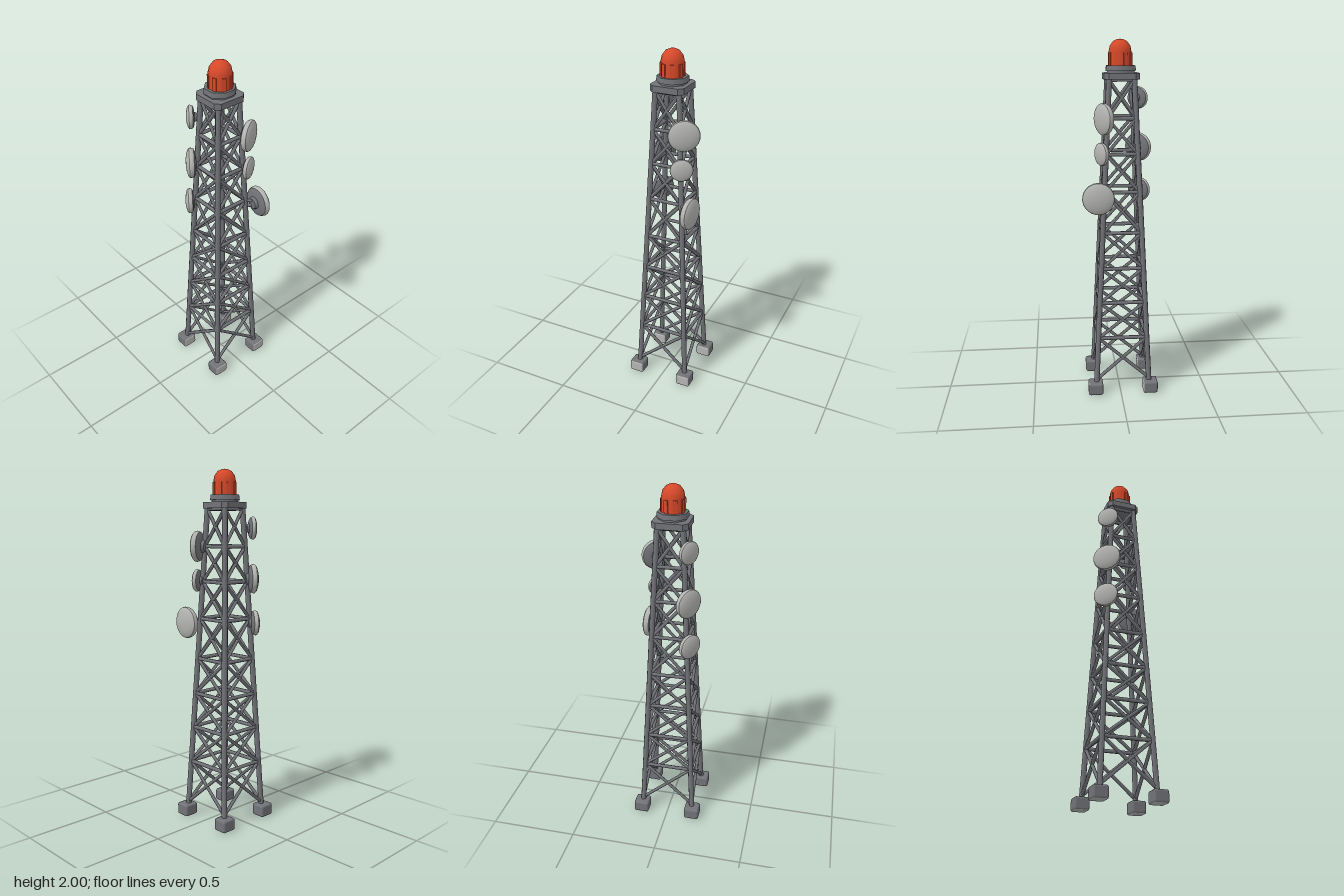
import * as THREE from 'three';
import { RoundedBoxGeometry } from 'three/addons/geometries/RoundedBoxGeometry.js';

const V = (x, y, z) => new THREE.Vector3(x, y, z);
const UP = V(0, 1, 0);

export function createModel() {
  const mat = (name, color) => {
    const m = new THREE.MeshStandardMaterial({ color });
    m.name = name;
    return m;
  };
  const steel = mat('steel grey', 0x727378);
  const pale = mat('pale grey', 0xb4b4b2);
  const red = mat('beacon red', 0xd8492a);

  const model = new THREE.Group();
  model.name = 'radioTower';
  const tower = new THREE.Group();
  tower.name = 'tower';
  tower.position.x = -0.0125;
  model.add(tower);

  const add = (parent, name, geo, material, x = 0, y = 0, z = 0) => {
    const m = new THREE.Mesh(geo, material);
    m.name = name;
    m.position.set(x, y, z);
    parent.add(m);
    return m;
  };
  // Round bar between two points
  const bar = (parent, name, a, b, r, sides = 6) => {
    const d = b.clone().sub(a);
    const m = add(parent, name, new THREE.CylinderGeometry(r, r, d.length(), sides), steel);
    m.position.copy(a).add(b).multiplyScalar(0.5);
    m.quaternion.setFromUnitVectors(UP, d.normalize());
  };

  // Corner point of the tapering tower at a height
  const half = y => 0.153 - (0.085 * (y - 0.05)) / 1.75;
  const signs = [[1, 1], [1, -1], [-1, -1], [-1, 1]];
  const corner = (i, y) => {
    const [sx, sz] = signs[i % 4];
    return V(sx * half(y), y, sz * half(y));
  };

  // Legs and footings
  signs.forEach(([sx, sz], i) => {
    bar(tower, 'leg', corner(i, 0.04), corner(i, 1.8), 0.0155, 8);
    add(tower, 'footing', new RoundedBoxGeometry(0.084, 0.07, 0.088, 2, 0.012),
      [pale, steel, steel, pale, steel, steel], sx * 0.159, 0.035, sz * 0.156);
  });

  // Horizontal rails and crossed braces on each side
  const levels = [0.08, 0.33, 0.54, 0.74, 0.945, 1.175, 1.385, 1.58, 1.785];
  for (let side = 0; side < 4; side++) {
    for (let k = 0; k < levels.length; k++) {
      const y = levels[k];
      if (k > 0) bar(tower, 'rail', corner(side, y), corner(side + 1, y), 0.011);
      if (k < levels.length - 1) {
        const top = levels[k + 1];
        bar(tower, 'brace', corner(side, y), corner(side + 1, top), 0.0098);
        bar(tower, 'brace', corner(side + 1, y), corner(side, top), 0.0098);
      }
    }
  }

  // Square platform with cut corners
  const h = 0.097, c = 0.072;
  const outline = new THREE.Shape([[h, c], [c, h], [-c, h], [-h, c], [-h, -c], [-c, -h], [c, -h], [h, -c]]
    .map(p => new THREE.Vector2(...p)));
  const plate = new THREE.ExtrudeGeometry(outline, { depth: 0.034, bevelEnabled: false });
  plate.rotateX(-Math.PI / 2);
  add(tower, 'platform', plate, steel, 0, 1.787, 0);

  // Octagonal beacon seat on a narrower neck
  const octagon = (top, bottom, height) => {
    const g = new THREE.CylinderGeometry(top, bottom, height, 8);
    g.rotateY(Math.PI / 8);
    return g;
  };
  add(tower, 'seatNeck', octagon(0.078, 0.078, 0.02), steel, 0, 1.826, 0);
  add(tower, 'beaconSeat', octagon(0.084, 0.088, 0.028), steel, 0, 1.846, 0);

  // Domed beacon with shallow ribs around its lower part
  const beacon = new THREE.Group();
  beacon.name = 'beacon';
  beacon.position.x = 0.003;
  tower.add(beacon);
  const dome = [[0.063, 1.858], [0.062, 1.935], [0.056, 1.964], [0.038, 1.988], [0.016, 1.998], [0, 2]];
  add(beacon, 'beaconLens', new THREE.LatheGeometry(dome.map(p => new THREE.Vector2(...p)), 16), red);
  for (let i = 0; i < 8; i++) {
    const a = ((i + 0.5) / 8) * Math.PI * 2;
    const rib = add(beacon, 'beaconRib', new THREE.BoxGeometry(0.022, 0.07, 0.01), red,
      Math.sin(a) * 0.061, 1.894, Math.cos(a) * 0.061);
    rib.rotation.y = a;
  }

  // Drum dish: dark back, deep pale rim and bulging cover, struts to the leg
  const lathe = pts => new THREE.LatheGeometry(pts.map(p => new THREE.Vector2(...p)), 24);
  const addDish = (name, x, y, z, r, nx, nz, leg) => {
    const normal = V(nx, 0, nz).normalize();
    const g = new THREE.Group();
    g.name = name;
    g.position.set(x, y, z);
    g.quaternion.setFromUnitVectors(UP, normal);
    add(g, 'dishBack', lathe([[0, -0.4 * r], [0.45 * r, -0.39 * r], [0.75 * r, -0.34 * r], [0.93 * r, -0.24 * r]]), steel);
    add(g, 'dishRim', lathe([[0.93 * r, -0.24 * r], [0.99 * r, -0.1 * r], [r, 0], [0.97 * r, 0.07 * r]]), pale);
    add(g, 'dishCover', lathe([[0.97 * r, 0.07 * r], [0.85 * r, 0.16 * r], [0.6 * r, 0.24 * r], [0.3 * r, 0.29 * r], [0, 0.3 * r]]), pale);
    add(g, 'dishHub', new THREE.CylinderGeometry(0.42 * r, 0.34 * r, 0.22 * r, 12), steel, 0, -0.48 * r, 0);
    model.add(g);
    const back = V(x, y, z).addScaledVector(normal, -0.45 * r);
    for (const dy of [-0.18 * r, 0.18 * r]) {
      const end = corner(leg, y + dy);
      end.x += tower.position.x;
      bar(model, 'dishStrut', end, back.clone().setY(y + dy), 0.01);
    }
  };
  // Dishes on the front right leg
  addDish('upperFrontDish', -0.122, 1.68, 0.112, 0.063, -0.58, 0.815, 3);
  addDish('middleFrontDish', -0.127, 1.4, 0.114, 0.082, -0.58, 0.815, 3);
  addDish('lowerFrontDish', -0.134, 1.15, 0.124, 0.071, -0.58, 0.815, 3);
  // Dishes on the back left leg
  addDish('upperBackDish', 0.094, 1.58, -0.115, 0.086, 0.89, -0.46, 1);
  addDish('middleBackDish', 0.105, 1.39, -0.107, 0.063, 0.89, -0.46, 1);
  addDish('lowerBackDish', 0.124, 1.155, -0.173, 0.089, 0.08, -1, 1);

  return model;
}
